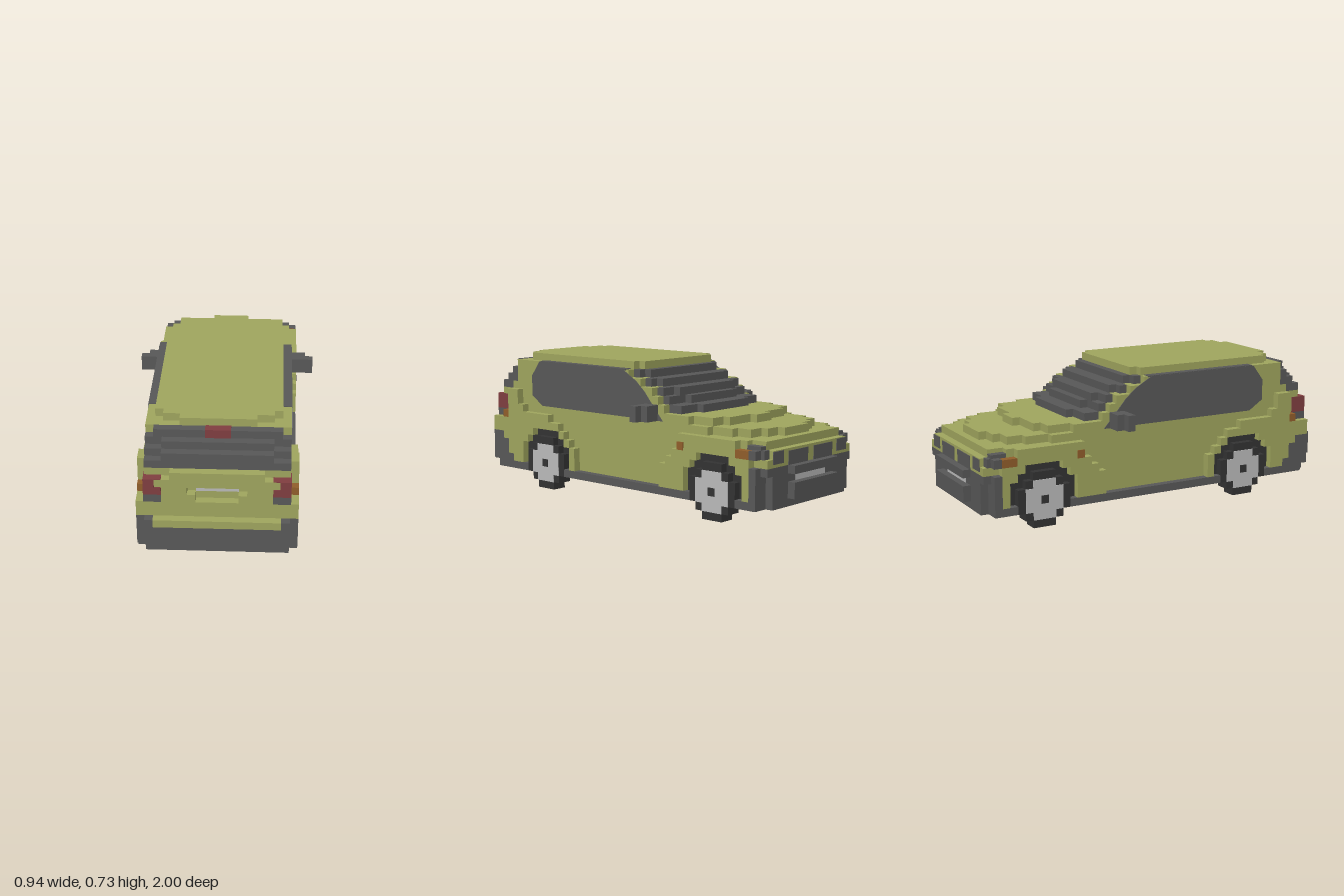
import * as THREE from 'three';
import { mergeGeometries } from 'three/addons/utils/BufferGeometryUtils.js';

// Block car. Work units: one block = 1, x from the middle, y from the ground,
// k along the length from the nose (0) to the tail (49).
const U = 2 / 49;
const flat = (name, hex) => {
  const m = new THREE.MeshStandardMaterial({ color: hex });
  m.name = name;
  return m;
};

export function createModel() {
  const paint = flat('lime paint', 0xa1a75f);
  const grey = flat('dark grey', 0x595959);
  const black = flat('tyre black', 0x343434);
  const silver = flat('silver', 0xbcbcbc);
  const red = flat('lamp red', 0x813f41);
  const orange = flat('indicator orange', 0x925f2b);

  const car = new THREE.Group();
  car.name = 'car';
  const body = new THREE.Group();
  body.name = 'body';
  body.scale.setScalar(U);
  car.add(body);

  const block = (x0, x1, y0, y1, k0, k1) =>
    new THREE.BoxGeometry(x1 - x0, y1 - y0, k1 - k0)
      .translate((x0 + x1) / 2, (y0 + y1) / 2, (k0 + k1) / 2 - 24.5);
  const add = (name, mat, geos) => {
    const mesh = new THREE.Mesh(mergeGeometries(geos), mat);
    mesh.name = name;
    body.add(mesh);
  };
  // Layers across the whole width: [y0, y1, halfWidth, k0, k1]
  const layers = (name, mat, rows) =>
    add(name, mat, rows.map(([y0, y1, w, k0, k1]) => block(-w, w, y0, y1, k0, k1)));
  // Mirrored blocks on both sides: [x0, x1, y0, y1, k0, k1]
  const pair = (name, mat, rows) =>
    add(name, mat, rows.flatMap(([a, b, ...r]) => [block(a, b, ...r), block(-b, -a, ...r)]));

  // Underbody and sills, open at the wheels
  layers('underbody', grey, [[2, 3, 8.5, 2, 48], [2, 3, 7.5, 1, 48]]);
  pair('sill', grey, [[8.5, 9.5, 2, 3, 2, 5], [8.5, 9.5, 2, 3, 12, 34], [8.5, 9.5, 2, 3, 41, 47]]);

  // Main body, with a recess for the rear plate
  layers('lowerBody', paint, [
    [3, 9, 8.5, 3, 48], [7, 8, 8.5, 1, 3], [8, 9, 7.5, 1, 3],
    [9, 10, 7.5, 2, 47], [9, 10, 8.5, 4, 47],
  ]);
  layers('bonnet', paint, [
    [10, 11, 2.5, 3, 47], [10, 11, 4.5, 4, 47], [10, 11, 6.5, 5, 47], [10, 11, 7.5, 7, 47], [10, 11, 8.5, 10, 47],
    [11, 12, 1.5, 8, 48], [11, 12, 5.5, 9, 48], [11, 12, 7.5, 10, 48], [11, 12, 8.5, 13, 48],
  ]);
  pair('tailgateSide', paint, [[2.5, 8.5, 9, 10, 47, 48], [3.5, 8.5, 10, 11, 47, 48]]);
  layers('waistline', paint, [[12, 13, 5.5, 20, 48], [12, 13, 8.5, 17, 47]]);

  // Wings one block wider than the doors, stepped round the wheel arches
  const FRONT = 8.5, REAR = 37.5;
  const frontEnd = [17, 17, 17, 16, 15, 14, 14];
  const rearStart = [32, 32, 32, 33, 34, 35, 37, 42, 43, 43];
  const rearEnd = [44, 45, 45, 46, 48, 48, 45, 45, 45, 45];
  const arch = [4.5, 4.5, 4.5, 3.5, 2.5];
  const wings = [];
  rearStart.forEach((start, i) => {
    const y = i + 3, a = arch[i];
    const side = (k0, k1) => wings.push([8.5, 9.5, y, y + 1, k0, k1]);
    if (a) {
      side(3, FRONT - a);
      side(FRONT + a, frontEnd[i]);
      if (start < REAR - a) side(start, REAR - a);
      side(REAR + a, rearEnd[i]);
    } else {
      if (frontEnd[i]) side(5, frontEnd[i]);
      side(start, rearEnd[i]);
    }
  });
  pair('wing', paint, wings);

  // Cabin shell and roof
  layers('cabin', paint, [
    [13, 14, 8.5, 18, 45], [14, 15, 8.5, 19, 44], [15, 16, 8.5, 21, 44], [16, 17, 8.5, 23, 44],
  ]);
  layers('roof', paint, [[17, 18, 4.5, 22, 44], [17, 18, 6.5, 22, 43], [17, 18, 7.5, 23, 42]]);
  layers('windscreen', grey, [
    [12, 13, 4.5, 14, 17], [12, 13, 7.5, 15, 17], [13, 14, 4.5, 16, 18], [13, 14, 7.5, 17, 18],
    [14, 15, 5.5, 17, 19], [14, 15, 7.5, 18, 19], [15, 16, 6.5, 19, 21], [15, 16, 7.5, 20, 21],
    [16, 17, 6.5, 21, 23], [16, 17, 7.5, 22, 23],
  ]);
  layers('rearWindow', grey, [
    [13, 14, 8.5, 45, 47], [14, 15, 6.5, 44, 47], [14, 15, 8.5, 44, 46],
    [15, 16, 6.5, 44, 46], [15, 16, 8.5, 44, 45], [16, 17, 7.5, 44, 45],
  ]);
  layers('brakeLamp', red, [[16, 17.08, 1.5, 44, 45.08]]);

  // Side windows: thin plates, with the dark ledge under the roof edge
  const pane = new THREE.Shape([[24, 17], [21.7, 15.7], [20.3, 14.5], [19, 13], [17.2, 11], [39, 11], [41, 12.3], [41, 15], [39.5, 17]]
    .map(([k, y]) => new THREE.Vector2(24.5 - k, y)));
  for (const s of [-1, 1]) {
    const g = new THREE.ExtrudeGeometry(pane, { depth: 0.1, bevelEnabled: false })
      .rotateY(Math.PI / 2).translate(s > 0 ? 8.5 : -8.6, 0, 0);
    add(s > 0 ? 'leftWindow' : 'rightWindow', grey, [g]);
  }
  pair('windowLedge', grey, [[7.5, 8.55, 16.9, 17.08, 23.5, 39.3]]);
  pair('mirror', grey, [[8.5, 10.5, 11, 13, 18, 20], [10.5, 11.5, 11, 13, 19, 20]]);

  // Nose
  layers('frontBumper', grey, [
    [3, 5, 4.5, 0, 3], [3, 7, 7.5, 1, 3], [3, 7, 9.5, 2, 3], [6, 7, 4.5, 0, 3], [6, 7, 8.5, 1, 3],
  ]);
  layers('frontPlate', silver, [[5, 6, 3, 0.9, 1]]);
  pair('grille', grey, [[0.6, 4.5, 7, 8.7, 0.9, 1]]);
  pair('headlamp', grey, [[5.5, 7.5, 7.4, 8.9, 0.9, 1], [7.5, 8.5, 8, 9.08, 1.5, 4], [8.5, 9.5, 8, 9.08, 2, 3], [7.5, 8.5, 9, 9.5, 2, 4]]);
  pair('frontIndicator', orange, [[8.5, 9.5, 8, 9, 3, 5], [9.5, 9.6, 8, 9, 13, 14]]);

  // Tail
  layers('rearBumper', grey, [[3, 4, 8.5, 47, 48.5], [4, 6, 8.5, 47, 49]]);
  pair('rearBumperSide', grey, [
    [8.5, 9.5, 3, 4, 44, 48], [8.5, 9.5, 4, 6, 45, 48], [8.5, 9.5, 6, 7, 46, 48], [7.5, 8.5, 6, 7, 48, 49],
  ]);
  layers('bumperTop', paint, [[6, 7, 7.5, 47, 49]]);
  layers('rearPlate', silver, [[10, 11, 2.5, 47, 47.1]]);
  pair('tailLamp', red, [[6.5, 8.6, 10, 11, 46, 48.1], [7.3, 8.6, 11, 12.08, 46, 48.1], [6.5, 8.6, 12, 12.08, 47, 48]]);
  pair('reversingLamp', grey, [[6.5, 8.6, 9, 10, 46, 48.1]]);
  pair('rearIndicator', orange, [[8.5, 9.5, 9, 10, 45, 46]]);

  // Wheels: stepped discs in a dark arch
  const disc = (x0, x1, y, k, widths) => widths.map((w, i) => [x0, x1, y + i, y + i + 1, k - w / 2, k + w / 2]);
  for (const [name, k] of [['front', FRONT], ['rear', REAR]]) {
    pair(name + 'Arch', black, disc(8.5, 8.6, 3, k, [9, 9, 9, 7, 5]));
    pair(name + 'Tyre', black, disc(7.5, 9.5, 0, k, [3, 5, 7, 7, 7, 5, 3]));
    pair(name + 'Rim', silver, [...disc(9.5, 9.6, 1, k, [3, 5, 5, 5, 3]), ...disc(7.4, 7.5, 1, k, [3, 5, 5, 5, 3])]);
    pair(name + 'Hub', black, [[9.6, 9.7, 3, 4, k - 0.5, k + 0.5]]);
  }
  return car;
}
